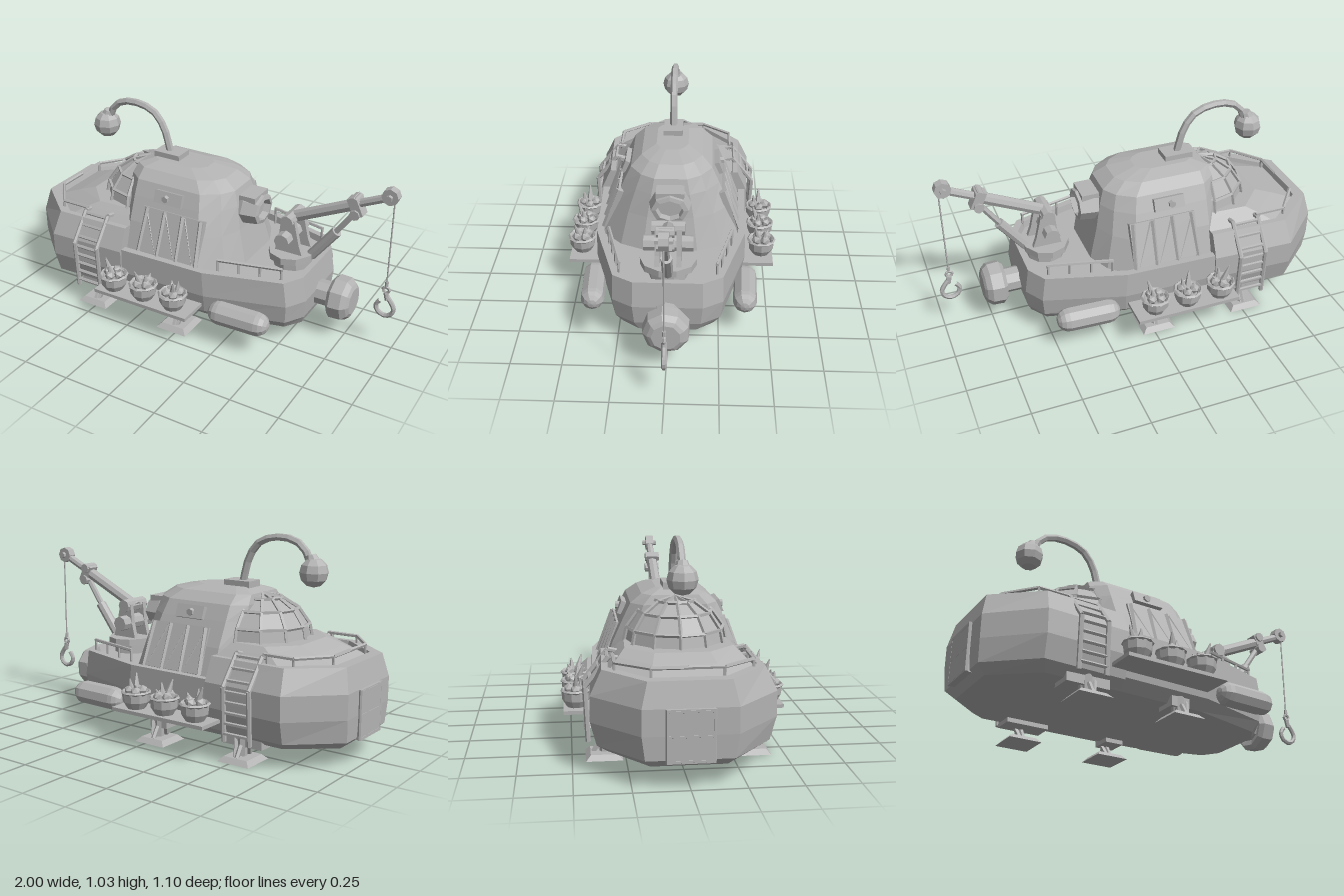
import * as THREE from 'three';

const paint = new THREE.MeshStandardMaterial({ color: 0xb4b4b4, flatShading: true });
paint.name = 'plain grey';
const V = (x, y, z) => new THREE.Vector3(x, y, z);

function add(parent, name, geo, pos = [0, 0, 0], rot = [0, 0, 0], scale = [1, 1, 1]) {
  const m = new THREE.Mesh(geo, paint);
  m.name = name;
  m.position.set(...pos);
  m.rotation.set(...rot);
  m.scale.set(...scale);
  parent.add(m);
  return m;
}
const box = (parent, name, size, pos, rot) => add(parent, name, new THREE.BoxGeometry(...size), pos, rot);

// Round bar between two points
function bar(parent, name, a, b, r, sides = 6, r2 = r) {
  const p = V(...a), q = V(...b), d = q.clone().sub(p);
  const m = add(parent, name, new THREE.CylinderGeometry(r2, r, d.length(), sides), p.clone().add(q).multiplyScalar(0.5).toArray());
  m.quaternion.setFromUnitVectors(V(0, 1, 0), d.normalize());
  return m;
}
// Chain of bars through a list of points
function pipe(parent, name, pts, r, sides) {
  for (let i = 1; i < pts.length; i++) bar(parent, name, pts[i - 1], pts[i], r, sides);
}

// Closed skin through horizontal rings, bottom to top
function loft(rings) {
  const pos = [], n = rings[0].length;
  const tri = (...c) => c.forEach(p => pos.push(p.x, p.y, p.z));
  const mid = r => r.reduce((s, p) => s.add(p), V(0, 0, 0)).divideScalar(n);
  const lo = rings[0], hi = rings[rings.length - 1], cl = mid(lo), ch = mid(hi);
  for (let i = 0; i < n; i++) {
    const j = (i + 1) % n;
    for (let k = 1; k < rings.length; k++) {
      const a = rings[k - 1], b = rings[k];
      tri(a[i], a[j], b[j]);
      tri(a[i], b[j], b[i]);
    }
    tri(cl, lo[j], lo[i]);
    tri(ch, hi[i], hi[j]);
  }
  const g = new THREE.BufferGeometry();
  g.setAttribute('position', new THREE.Float32BufferAttribute(pos, 3));
  g.computeVertexNormals();
  return g;
}
// Mirror a half outline [x, z] and scale it about x = cx
function ring(half, y, sx, sz, cx) {
  const full = [...half, ...half.slice().reverse().map(([x, z]) => [x, -z])];
  return full.map(([x, z]) => V(cx + (x - cx) * sx, y, z * sz));
}

// Body of revolution along x from [x, radius] points
function turned(parent, name, pts, y, sides, zScale = 1) {
  const g = new THREE.LatheGeometry(pts.map(([x, r]) => new THREE.Vector2(r, x)), sides);
  g.rotateZ(-Math.PI / 2);
  return add(parent, name, g, [0, y, 0], [0, 0, 0], [1, 1, zScale]);
}

function buildHull(g) {
  const stern = [[-0.985, 0.21], [-0.76, 0.42], [-0.34, 0.405]];
  add(g, 'sternHull', loft([[0.09, 0.92, 0.8], [0.13, 0.99, 0.93], [0.24, 1, 1], [0.36, 1, 1], [0.475, 0.96, 0.87],
    [0.475, 0.87, 0.8], [0.455, 0.86, 0.79], [0.5, 0.68, 0.68], [0.53, 0.54, 0.6]]
    .map(([y, sx, sz]) => ring(stern, y, sx, sz, -0.34))));
  const bow = [[-0.4, 0.4], [0.14, 0.385], [0.54, 0.27], [0.6, 0.17]];
  add(g, 'bowHull', loft([[0.09, 0.97, 0.82], [0.14, 0.99, 0.95], [0.24, 1, 1], [0.37, 0.98, 0.99],
    [0.37, 0.95, 0.9], [0.335, 0.94, 0.89]].map(([y, sx, sz]) => ring(bow, y, sx, sz, -0.4))));
  // Rear hatch
  box(g, 'rearHatch', [0.04, 0.24, 0.2], [-0.98, 0.24, 0]);
  for (const z of [-0.1, 0.1]) bar(g, 'hatchFrame', [-0.993, 0.12, z], [-0.993, 0.36, z], 0.009);
  for (const y of [0.13, 0.24, 0.35]) bar(g, 'hatchFrame', [-0.993, y, -0.1], [-0.993, y, 0.1], 0.009);
  // Nose bumper
  turned(g, 'noseBumper', [[0.56, 0], [0.58, 0.065], [0.68, 0.065], [0.67, 0.095], [0.69, 0.115], [0.75, 0.112], [0.775, 0.09], [0.785, 0.07], [0.785, 0]], 0.205, 9);
}

function buildCabin(g) {
  const half = [[-0.42, 0.24], [-0.34, 0.33], [0.08, 0.33], [0.18, 0.24], [0.23, 0.13]];
  add(g, 'cabin', loft([[0.33, 1.02, 1.06, -0.4], [0.5, 0.95, 0.9, -0.41], [0.62, 0.91, 0.74, -0.41], [0.695, 0.87, 0.63, -0.39],
    [0.74, 0.75, 0.47, -0.36], [0.763, 0.45, 0.25, -0.26]].map(([y, sx, sz, cx]) => ring(half, y, sx, sz, cx))));
  // Front porthole
  turned(g, 'porthole', [[0.13, 0.07], [0.19, 0.085], [0.23, 0.08], [0.27, 0.075], [0.275, 0.055], [0.24, 0.05], [0.24, 0]], 0.585, 8, 1.25);
  box(g, 'portholeHood', [0.09, 0.03, 0.14], [0.21, 0.655, 0]);
  for (const s of [1, -1]) {
    // Leaning side windows with ribs
    const tilt = [-0.36 * s, 0, 0];
    box(g, 'windowPanel', [0.35, 0.23, 0.03], [-0.095, 0.475, 0.298 * s], tilt);
    for (let i = 0; i < 4; i++) bar(g, 'windowRib', [-0.265 + i * 0.113, 0.365, 0.352 * s], [-0.25 + i * 0.104, 0.585, 0.272 * s], 0.012, 4);
    for (let i = 0; i < 3; i++) bar(g, 'windowBrace', [-0.255 + i * 0.113, 0.58, 0.272 * s], [-0.165 + i * 0.11, 0.37, 0.347 * s], 0.007, 4);
    // Small vent plate above the windows
    box(g, 'ventPlate', [0.16, 0.065, 0.04], [-0.14, 0.645, 0.235 * s], tilt);
    add(g, 'ventKnob', new THREE.CylinderGeometry(0.018, 0.018, 0.03, 6), [-0.15, 0.65, 0.255 * s], [Math.PI / 2, 0, 0]);
  }
}

// Glazed rear dome with a lattice frame
function buildDome(g) {
  const at = (i, j, k = 1) => {
    const a = Math.PI / 2 + i * Math.PI / 6, e = j * Math.PI / 8;
    return [-0.4 + Math.cos(a) * Math.cos(e) * 0.25 * k, 0.5 + Math.sin(e) * 0.235 * k, Math.sin(a) * Math.cos(e) * 0.25 * k];
  };
  const glass = new THREE.SphereGeometry(1, 12, 4, 0, Math.PI * 2, 0, Math.PI / 2);
  add(g, 'domeGlass', glass, [-0.4, 0.5, 0], [0, 0, 0], [0.24, 0.225, 0.24]);
  for (let i = 0; i <= 6; i++) for (let j = 0; j < 4; j++) {
    bar(g, 'domeRib', at(i, j), at(i, j + 1), 0.009, 4);
    if (i < 6) bar(g, 'domeHoop', at(i, j), at(i + 1, j), 0.009, 4);
  }
}

function buildLamp(g) {
  box(g, 'lampBase', [0.15, 0.04, 0.1], [-0.275, 0.77, 0]);
  const path = [[-0.28, 0.77], [-0.32, 0.91], [-0.38, 0.985], [-0.48, 1.013], [-0.55, 1.008], [-0.62, 0.975], [-0.66, 0.9]].map(([x, y]) => V(x, y, 0));
  add(g, 'lampArm', new THREE.TubeGeometry(new THREE.CatmullRomCurve3(path), 10, 0.019, 6));
  add(g, 'lampCollar', new THREE.CylinderGeometry(0.025, 0.04, 0.04, 8), [-0.668, 0.92, 0], [0, 0, -0.3]);
  add(g, 'lampBulb', new THREE.SphereGeometry(0.072, 8, 6), [-0.68, 0.858, 0]);
}

function buildCrane(g) {
  add(g, 'craneTurntable', new THREE.CylinderGeometry(0.12, 0.12, 0.035, 10), [0.44, 0.402, 0], [0, 0, 0], [1, 1, 1.16]);
  add(g, 'cranePlinth', new THREE.CylinderGeometry(0.1, 0.1, 0.07, 10), [0.44, 0.36, 0]);
  const cheek = new THREE.Shape([[0.37, 0.415], [0.52, 0.415], [0.5, 0.47], [0.47, 0.6], [0.4, 0.6], [0.39, 0.5]].map(p => new THREE.Vector2(...p)));
  for (const z of [-0.065, 0.04]) add(g, 'craneCheek', new THREE.ExtrudeGeometry(cheek, { depth: 0.025, bevelEnabled: false }), [0, 0, z]);
  bar(g, 'cranePivot', [0.435, 0.59, -0.08], [0.435, 0.59, 0.08], 0.035, 8);
  bar(g, 'craneMotor', [0.43, 0.5, -0.12], [0.43, 0.5, 0.12], 0.04, 8);
  bar(g, 'craneBoom', [0.41, 0.58, 0], [0.76, 0.745, 0], 0.03, 8);
  bar(g, 'craneBoomTip', [0.72, 0.728, 0], [0.94, 0.83, 0], 0.021, 8);
  bar(g, 'ramBody', [0.54, 0.4, 0], [0.67, 0.57, 0], 0.027, 8);
  bar(g, 'ramRod', [0.66, 0.56, 0], [0.765, 0.71, 0], 0.016, 6);
  for (const [x, y] of [[0.755, 0.765], [0.765, 0.7]]) bar(g, 'boomClamp', [x, y, -0.04], [x, y, 0.04], 0.026, 8);
  box(g, 'boomBracket', [0.05, 0.1, 0.06], [0.762, 0.735, 0], [0, 0, 0.44]);
  bar(g, 'tipPulley', [0.925, 0.828, -0.022], [0.925, 0.828, 0.022], 0.042, 8);
  bar(g, 'tipPin', [0.925, 0.828, -0.04], [0.925, 0.828, 0.04], 0.016, 6);
  // Cable and hook
  bar(g, 'cable', [0.945, 0.82, 0], [0.945, 0.36, 0], 0.004, 5);
  bar(g, 'cableWeight', [0.945, 0.37, 0], [0.945, 0.345, 0], 0.009, 6);
  add(g, 'hookSwivel', new THREE.TorusGeometry(0.016, 0.008, 5, 8), [0.945, 0.325, 0]);
  bar(g, 'hookShank', [0.945, 0.31, 0], [0.955, 0.27, 0], 0.013, 6);
  const hook = [[0.95, 0.29], [0.975, 0.26], [0.992, 0.222], [0.975, 0.188], [0.945, 0.178], [0.91, 0.195], [0.9, 0.23], [0.92, 0.258]];
  add(g, 'hook', new THREE.TubeGeometry(new THREE.CatmullRomCurve3(hook.map(([x, y]) => V(x, y, 0))), 14, 0.012, 6));
}

// Bowl heaped with produce
function bowl(g, x, z, turn) {
  const b = new THREE.Group();
  b.name = 'produceBowl';
  b.position.set(x, 0.19, z);
  b.rotation.y = turn;
  g.add(b);
  const prof = [[0, 0], [0.045, 0], [0.066, 0.035], [0.07, 0.08], [0.058, 0.08], [0.05, 0.055], [0, 0.05]];
  add(b, 'bowl', new THREE.LatheGeometry(prof.map(p => new THREE.Vector2(...p)), 10));
  add(b, 'bowlRim', new THREE.TorusGeometry(0.068, 0.008, 4, 10), [0, 0.08, 0], [Math.PI / 2, 0, 0]);
  for (let i = 0; i < 4; i++) {
    const a = i * Math.PI / 2, c = Math.cos(a), s = Math.sin(a);
    add(b, 'fruit', new THREE.IcosahedronGeometry(0.026, 0), [c * 0.032, 0.088, s * 0.032]);
    if (i < 3) bar(b, 'root', [c * 0.012, 0.07, s * 0.02], [c * 0.045, 0.125 + i * 0.02, s * 0.03], 0.022, 6, 0.003);
  }
}

function buildSide(g, s) {
  // Shelf with bowls
  box(g, 'shelf', [0.545, 0.018, 0.175], [-0.147, 0.18, 0.448 * s]);
  [-0.335, -0.155, 0.02].forEach((x, i) => bowl(g, x, 0.475 * s, i * 1.1));
  // Side float
  const f = new THREE.CapsuleGeometry(0.06, 0.2, 4, 9).rotateZ(Math.PI / 2);
  add(g, 'sideFloat', f, [0.34, 0.178, 0.383 * s], [0, 0.04 * s, 0], [1.02, 1, 1]);
  // Boarding ladder
  const bend = [[0.1, 0.425], [0.36, 0.437], [0.5, 0.325]];
  for (const x of [-0.605, -0.465]) pipe(g, 'ladderRail', [...bend, [0.49, 0.28]].map(([y, z]) => [x, y, z * s]), 0.012, 6);
  for (let i = 0; i < 8; i++) {
    const y = 0.14 + i * 0.05, z = y < 0.36 ? 0.43 : 0.437 - (y - 0.36) * 0.8;
    bar(g, 'ladderRung', [-0.605, y, z * s], [-0.465, y, z * s], 0.009, 5);
  }
  // Deck rails
  pipe(g, 'sternRail', [[-0.6, 0.51, 0.31 * s], [-0.76, 0.51, 0.31 * s], [-0.88, 0.51, 0.16 * s], [-0.88, 0.51, 0]], 0.009, 5);
  for (const [x, z] of [[-0.62, 0.31], [-0.76, 0.31], [-0.88, 0.16]]) bar(g, 'sternRailPost', [x, 0.45, z * s], [x, 0.51, z * s], 0.007, 5);
  bar(g, 'bowRail', [0.18, 0.425, 0.315 * s], [0.5, 0.425, 0.235 * s], 0.009, 5);
  for (let i = 0; i < 4; i++) {
    const x = 0.185 + i * 0.103, z = (0.314 - i * 0.0257) * s;
    bar(g, 'bowRailPost', [x, 0.33, z], [x, 0.425, z], 0.007, 5);
  }
  // Landing feet
  for (const x of [-0.52, -0.025]) {
    box(g, 'footMount', [x < -0.3 ? 0.22 : 0.1, 0.05, 0.11], [x, 0.093, 0.305 * s]);
    const pad = new THREE.CylinderGeometry(0.09, 0.122, 0.024, 4).rotateY(Math.PI / 4);
    add(g, 'footPad', pad, [x, 0.012, 0.35 * s]);
    bar(g, 'footLeg', [x, 0.02, 0.35 * s], [x, 0.12, 0.35 * s], 0.022, 6);
    for (const d of [-1, 1]) {
      bar(g, 'footStrut', [x + d * 0.035, 0.1, 0.35 * s], [x + d * 0.012, 0.02, (0.35 + d * 0.04) * s], 0.012, 5);
      bar(g, 'footBrace', [x, 0.075, (0.35 + d * 0.015) * s], [x, 0.02, (0.35 + d * 0.05) * s], 0.012, 5);
    }
  }
}

export function createModel() {
  const g = new THREE.Group();
  g.name = 'craneVessel';
  buildHull(g);
  buildCabin(g);
  buildDome(g);
  buildLamp(g);
  buildCrane(g);
  for (const s of [1, -1]) buildSide(g, s);
  return g;
}
